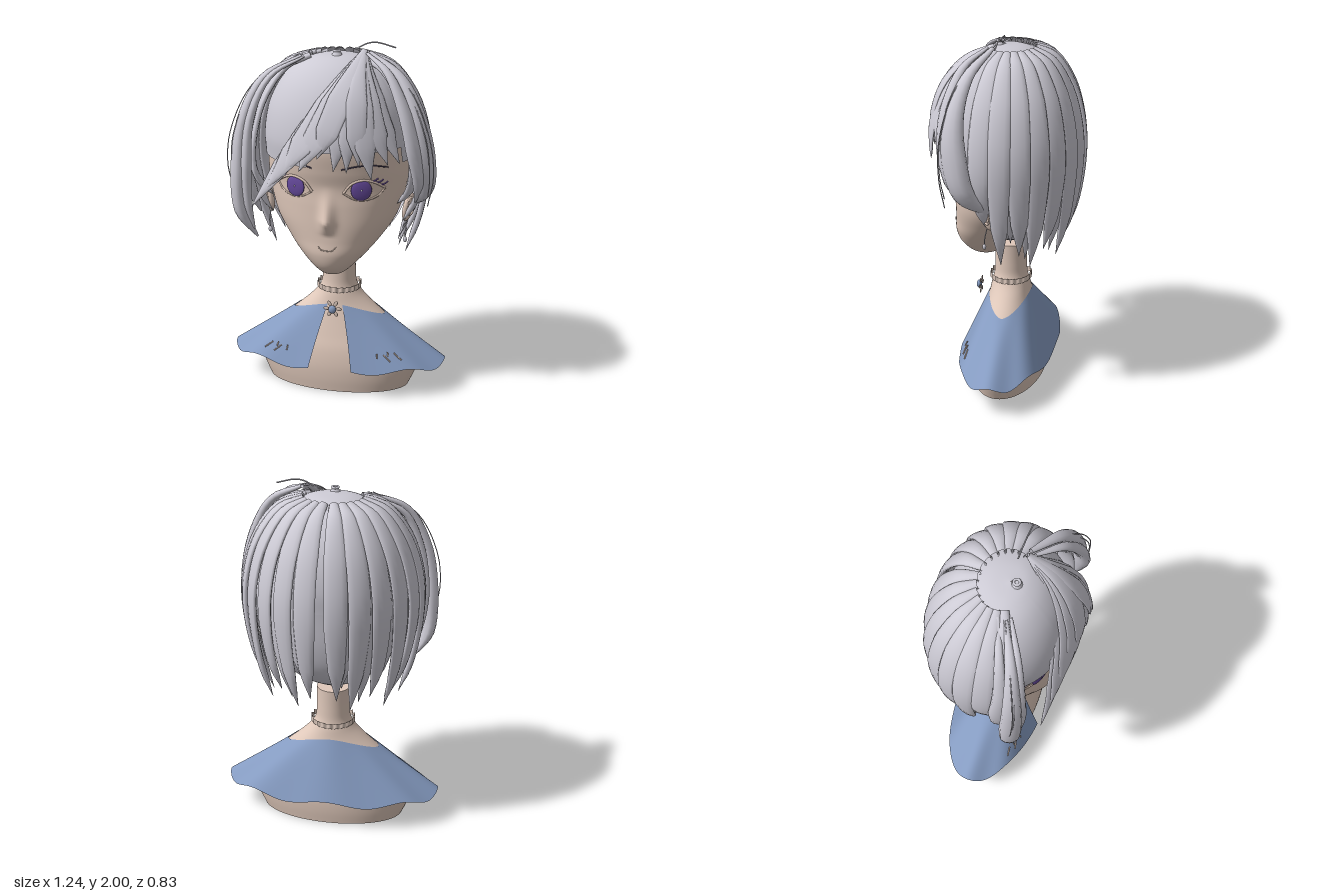
import * as THREE from 'three';

const V = (x, y, z) => new THREE.Vector3(x, y, z);
const lerp = THREE.MathUtils.lerp;
const mat = (name, color, side = THREE.FrontSide) => {
  const m = new THREE.MeshStandardMaterial({ color, side });
  m.name = name;
  return m;
};

// Surface from a rule p(u, v); u runs sideways, v upwards (seen from outside)
function grid(nu, nv, p, closed) {
  const pos = [], idx = [], w = closed ? nu : nu + 1;
  for (let j = 0; j <= nv; j++) for (let i = 0; i < w; i++) pos.push(...p(i / nu, j / nv).toArray());
  for (let j = 0; j < nv; j++) for (let i = 0; i < nu; i++) {
    const a = j * w + i, b = j * w + (i + 1) % w;
    idx.push(a, b, a + w, b, b + w, a + w);
  }
  const g = new THREE.BufferGeometry();
  g.setAttribute('position', new THREE.Float32BufferAttribute(pos, 3));
  g.setIndex(idx);
  g.computeVertexNormals();
  return g;
}

// Smooth cross-sections [y, halfWidth, zFront, zBack, zCentre]
function sections(rows) {
  const A = new THREE.CatmullRomCurve3(rows.map(r => V(r[0], r[1], r[2])));
  const B = new THREE.CatmullRomCurve3(rows.map(r => V(r[0], r[3], r[4])));
  return t => { const a = A.getPoint(t), b = B.getPoint(t); return [a.x, a.y, a.z, b.y, b.z]; };
}
function ringPoint([y, w, zf, zb, zc], a) {
  const c = Math.cos(a);
  return V(w * Math.sin(a), y, zc + (c > 0 ? zf - zc : zc - zb) * c);
}
// The cross-section at height y
function sectionAtHeight(at, y) {
  let lo = 0, hi = 1;
  for (let i = 0; i < 24; i++) { const m = (lo + hi) / 2; if (at(m)[0] < y) lo = m; else hi = m; }
  return at(lo);
}

// Tapered lens-shaped lock of hair along a path, facing away from the head
function lock(points, widths, thick) {
  const c = new THREE.CatmullRomCurve3(points), n = widths.length - 1;
  return grid(12, 24, (u, v) => {
    const p = c.getPoint(v), T = c.getTangent(v), N = V(p.x, p.y - 1.4, p.z);
    N.addScaledVector(T, -N.dot(T)).normalize();
    const D = T.clone().cross(N), k = Math.min(n - 1, Math.floor(v * n));
    const w = Math.max(0.001, lerp(widths[k], widths[k + 1], v * n - k));
    const th = Math.min(thick, w * 0.7), a = u * Math.PI * 2;
    return p.addScaledVector(N, th * Math.cos(a)).addScaledVector(D, w * Math.sin(a));
  }, true);
}

const headAt = sections([
  [0.728, 0.005, 0.155, 0.145, 0.15], [0.735, 0.06, 0.22, 0.08, 0.15], [0.79, 0.125, 0.285, 0.04, 0.13],
  [0.87, 0.2, 0.312, 0, 0.11], [0.95, 0.265, 0.308, -0.06, 0.08], [1.05, 0.33, 0.305, -0.12, 0.05],
  [1.15, 0.365, 0.3, -0.18, 0.03], [1.25, 0.385, 0.295, -0.22, 0.02], [1.35, 0.392, 0.315, -0.25, 0.01],
  [1.5, 0.385, 0.33, -0.26, 0], [1.7, 0.3, 0.25, -0.22, 0], [1.85, 0.02, 0.02, -0.02, 0]]);
const bustAt = sections([[0, 0.41, 0.2], [0.08, 0.445, 0.208], [0.16, 0.47, 0.208], [0.25, 0.435, 0.195],
  [0.33, 0.37, 0.17], [0.42, 0.27, 0.142], [0.5, 0.18, 0.118], [0.56, 0.125, 0.106], [0.61, 0.1, 0.094],
  [0.68, 0.094, 0.09], [0.8, 0.092, 0.088]].map(([y, x, z]) => [y, x, z, -z, 0]));

// Depth of the face at (x, y)
function faceZ(x, y) {
  const [, w, zf, , zc] = sectionAtHeight(headAt, y);
  return zc + (zf - zc) * Math.sqrt(Math.max(0, 1 - (x / w) ** 2));
}

// Cape surface: a = angle from the front, t = 0 at the collar on the shoulders, 1 at the hem
function capePoint(a, t) {
  const top = 0.43 + 0.08 * Math.abs(Math.cos(a)) ** 1.5;
  const collar = ringPoint(sectionAtHeight(bustAt, top), a);
  const hem = V(0.62 * Math.sin(a), 0.167 + 0.016 * Math.cos(8 * a), 0.272 * Math.cos(a));
  collar.x *= 1.025;
  collar.z *= 1.025;
  return collar.lerp(hem, t);
}

export function createModel() {
  const model = new THREE.Group();
  const skin = mat('skin', 0xe0c9bb, THREE.DoubleSide), lace = mat('lace', 0xdcc8bc, THREE.DoubleSide);
  const hair = mat('hair', 0xcdcbd5, THREE.DoubleSide), cloth = mat('cape blue', 0x859bc1, THREE.DoubleSide);
  const violet = mat('violet', 0x664a9c), dark = mat('dark line', 0x453c52);
  const add = (name, geo, m, parent = model) => {
    const mesh = new THREE.Mesh(geo, m);
    mesh.name = name;
    parent.add(mesh);
    return mesh;
  };
  const group = name => { const g = new THREE.Group(); g.name = name; model.add(g); return g; };
  const tube = (name, pts, r, m, parent) =>
    add(name, new THREE.TubeGeometry(new THREE.CatmullRomCurve3(pts), 24, r, 6), m, parent);
  const faceLine = (name, xy, r, m) => tube(name, xy.map(([x, y]) => V(x, y, faceZ(x, y) + 0.003)), r, m);

  // Bust and neck, an open shell underneath
  add('bust', grid(64, 50, (u, v) => ringPoint(bustAt(v), u * Math.PI * 2), true), skin);
  add('neckTop', new THREE.CircleGeometry(1, 48).scale(0.092, 0.088, 1).rotateX(-Math.PI / 2).translate(0, 0.8, 0), skin);

  // Ruffled choker
  add('choker', grid(160, 4, (u, v) => {
    const a = u * Math.PI * 2, r = 0.122 + 0.005 * Math.cos(20 * a);
    return V(r * Math.sin(a), 0.577 + 0.032 * v + 0.004 * Math.cos(20 * a), r * 0.94 * Math.cos(a));
  }, true), lace);

  // Cape, open at the front
  add('cape', grid(160, 14, (u, v) => {
    const t = 1 - v, a0 = lerp(0.24, 0.2, t);
    return capePoint(lerp(a0, Math.PI * 2 - a0, u), t);
  }, false), cloth);

  // Small stitched sprigs on the cape
  const sprigs = group('capeStitching');
  for (const s of [-1, 1]) for (let i = 0; i < 4; i++) {
    const a = 0.55 + i * 0.07, t = 0.7 + 0.03 * (i % 2);
    tube('stitch', [0, 0.5, 1].map(k => {
      const p = capePoint(s * (a + 0.03 * k * (i % 2 ? 1 : -1)), t + 0.12 * k * (i % 2 ? 1 : 0.6));
      return p.add(V(s * 0.002, 0.003, 0.005));
    }), 0.004, lace, sprigs);
  }

  // Flower brooch
  const brooch = group('brooch');
  add('stone', new THREE.SphereGeometry(0.022, 20, 14).scale(1, 1.1, 0.7).translate(0, 0.507, 0.188), cloth, brooch);
  for (let i = 0; i < 6; i++) {
    add('petal', new THREE.SphereGeometry(0.018, 12, 8).scale(0.6, 1, 0.2).translate(0, 0.035, 0)
      .rotateZ((i + 0.5) * Math.PI / 3).translate(0, 0.507, 0.176), lace, brooch);
  }

  // Head with the nose drawn out of the face
  add('head', grid(160, 90, (u, v) => {
    const p = ringPoint(headAt(v), u * Math.PI * 2);
    const k = p.y > 1.07 ? Math.max(0, 1 - (p.y - 1.07) / 0.2) ** 1.5 : Math.max(0, 1 - (1.07 - p.y) / 0.08);
    if (p.z > 0.1) p.z += 0.053 * k * Math.exp(-((p.x / 0.036) ** 2));
    return p;
  }, true), skin);
  faceLine('mouth', [[-0.05, 0.928], [-0.03, 0.911], [0, 0.908], [0.03, 0.911], [0.05, 0.933]], 0.003, skin);

  // Eyes, lids, lashes, brows, ears and earrings
  for (const s of [-1, 1]) {
    const iris = add('iris', new THREE.SphereGeometry(0.057, 32, 16).scale(1, 1, 0.2), violet);
    iris.position.set(s * 0.18, 1.253, faceZ(0.18, 1.253) + 0.01);
    iris.rotation.y = s * 0.36;
    const glint = add('glint', new THREE.SphereGeometry(0.006, 10, 8), hair);
    glint.position.set(s * 0.182, 1.256, faceZ(0.18, 1.253) + 0.018);
    const at = (...xy) => xy.map(([x, y]) => [s * x, y]);
    faceLine('upperLid', at([0.085, 1.235], [0.13, 1.29], [0.19, 1.31], [0.25, 1.29], [0.295, 1.255]), 0.007, skin);
    faceLine('lowerLid', at([0.085, 1.235], [0.14, 1.203], [0.2, 1.195], [0.26, 1.215], [0.295, 1.255]), 0.005, skin);
    for (const [x, y] of [[0.235, 1.302], [0.26, 1.292], [0.28, 1.276]])
      faceLine('lash', at([x - 0.02, y + 0.002], [x + 0.01, y], [x + 0.028, y + 0.012]), 0.004, violet);
    faceLine('eyebrow', at([0.08, 1.372], [0.16, 1.39], [0.24, 1.39], [0.31, 1.37]), 0.004, dark);
    const ear = add('ear', new THREE.SphereGeometry(0.08, 20, 16).scale(0.3, 1.05, 0.55), skin);
    ear.position.set(s * 0.395, 1.095, 0.03);
    ear.rotation.set(-0.15, s * -0.4, s * -0.2);
    const inner = add('earFold', new THREE.TorusGeometry(0.04, 0.007, 8, 24).scale(0.6, 1.2, 1), skin);
    inner.position.set(s * 0.408, 1.105, 0.045);
    inner.rotation.y = s * 0.9;
    tube('earringChain', [V(s * 0.385, 1.02, 0.05), V(s * 0.39, 0.97, 0.06), V(s * 0.385, 0.93, 0.065)], 0.003, hair);
    add('earringDrop', new THREE.SphereGeometry(0.011, 12, 8).scale(1, 1.5, 1).translate(s * 0.385, 0.915, 0.065), hair);
  }

  // Hair cap: crown with its edge lifted over one brow, back half below it
  const crownAt = sections([[1.38, 0.405, 0.35, -0.33, 0], [1.5, 0.41, 0.36, -0.34, 0], [1.65, 0.385, 0.335, -0.32, 0],
    [1.78, 0.32, 0.28, -0.265, 0.01], [1.87, 0.235, 0.205, -0.185, 0.02], [1.92, 0.12, 0.12, -0.09, 0.03],
    [1.935, 0.002, 0.032, 0.028, 0.03]]);
  add('hairCrown', grid(96, 36, (u, v) => {
    const a = u * Math.PI * 2, lifted = a < 1.15 || a > Math.PI * 2 - 0.25;
    return ringPoint(crownAt(lerp(lifted ? 0.125 : 0, 1, v)), a);
  }, true), hair);
  const napeAt = sections([[0.84, 0.1, 0, -0.08, 0], [0.9, 0.21, 0, -0.17, 0], [1, 0.31, 0, -0.25, 0],
    [1.15, 0.378, 0, -0.3, 0], [1.38, 0.405, 0, -0.33, 0]]);
  add('hairNape', grid(48, 24, (u, v) => ringPoint(napeAt(v), lerp(Math.PI * 0.5, Math.PI * 1.5, u)), false), hair);
  add('crownNub', new THREE.CylinderGeometry(0.014, 0.032, 0.03, 20).translate(0, 1.938, 0.06), hair);
  add('crownNubRing', new THREE.TorusGeometry(0.016, 0.007, 8, 24).rotateX(Math.PI / 2).translate(0, 1.952, 0.06), hair);

  // Back strands fanned from the crown with a parting, and a shorter layer beneath
  const back = group('backHair');
  const strand = (deg, tip, size, half, first) => {
    const a = THREE.MathUtils.degToRad(deg), sway = 0.02 * Math.sin(deg * 0.7);
    const pts = [[0.32, 1.918], [0.58, 1.87], [0.82, 1.72], [0.955, 1.52], [0.98, 1.32],
      [0.9, lerp(1.32, tip, 0.55)], [0.75, tip]]
      .map(([r, y], i) => {
        const b = a + (i > 4 ? sway * (i - 4) : 0);
        return V(r * size * 0.5 * Math.sin(b), y, -r * size * 0.405 * Math.cos(b));
      });
    const widths = [0.4, 0.68, 0.95, 1.02, 1, 0.74, 0].map(w => w * half);
    add('strand', lock(pts.slice(first), widths.slice(first), 0.018), hair, back);
  };
  const tips = [0.86, 0.8, 0.87, 0.79, 0.86, 0.81, 1.02, 1.14];
  for (const s of [-1, 1]) tips.forEach((tip, i) => {
    strand(s * (9.8 + 15 * i), tip, 1, 0.061, 0);
    if (i < 5) strand(s * (17 + 15 * i), tip + 0.07 - 0.03 * (i % 2), 0.95, 0.055, 2);
  });

  // Fringe swept from the parting: [tipX, tipY, tipZ, halfWidth]
  const fringe = group('fringe');
  for (const [x, y, z, w] of [[-0.4, 1.15, 0.37, 0.055], [-0.32, 1.25, 0.38, 0.065], [-0.23, 1.34, 0.39, 0.07],
    [-0.13, 1.375, 0.4, 0.07], [-0.03, 1.45, 0.405, 0.065], [0.055, 1.385, 0.4, 0.055],
    [0.125, 1.385, 0.4, 0.05], [0.19, 1.42, 0.395, 0.055], [0.255, 1.35, 0.385, 0.06], [0.33, 1.42, 0.33, 0.06],
    [0.38, 1.41, 0.26, 0.06]]) {
    const pts = [0, 0.2, 0.45, 0.75, 1].map(k => V(lerp(0.15, x, k ** 1.2), lerp(1.96, y, k ** 1.15),
      lerp(0.06, z, Math.sin(Math.min(1, k * 1.25) * Math.PI / 2) ** 0.8)));
    add('fringeLock', lock(pts, [0.015, w * 0.6, w, w * 0.95, 0], 0.009), hair, fringe);
  }

  // Long side locks framing the face
  const sides = group('sideLocks');
  const sideLock = (pts, w, th) => add('sideLock', lock(pts.map(p => V(...p)),
    [0.18, 0.45, 0.75, 1, 0.85, 0.15].map(k => k * w), th), hair, sides);
  sideLock([[-0.19, 1.92, 0.08], [-0.37, 1.82, 0.18], [-0.475, 1.6, 0.23], [-0.51, 1.3, 0.24], [-0.5, 1.07, 0.23], [-0.42, 0.92, 0.2]], 0.062, 0.045);
  sideLock([[-0.17, 1.92, 0.1], [-0.33, 1.83, 0.2], [-0.43, 1.62, 0.25], [-0.46, 1.35, 0.26], [-0.46, 1.12, 0.24], [-0.43, 0.97, 0.22]], 0.045, 0.035);
  sideLock([[-0.19, 1.92, 0.04], [-0.37, 1.81, 0.12], [-0.45, 1.6, 0.16], [-0.48, 1.35, 0.16], [-0.46, 1.17, 0.15], [-0.42, 1.04, 0.12]], 0.055, 0.03);
  sideLock([[0.18, 1.95, 0.06], [0.36, 1.84, 0.15], [0.46, 1.65, 0.2], [0.505, 1.42, 0.19], [0.5, 1.24, 0.14], [0.42, 1.12, 0.03]], 0.075, 0.048);
  sideLock([[0.17, 1.95, 0.09], [0.3, 1.87, 0.19], [0.4, 1.68, 0.25], [0.455, 1.48, 0.25], [0.48, 1.3, 0.21], [0.45, 1.17, 0.15]], 0.055, 0.04);

  // Loose flyaway hairs
  const wisps = group('flyawayHairs');
  tube('wisp', [V(0.11, 1.965, 0.02), V(0.16, 1.99, 0.022), V(0.21, 1.996, 0.022), V(0.31, 1.972, 0.02)], 0.004, hair, wisps);
  for (const s of [-1, 1]) for (let i = 0; i < 2; i++) {
    tube('wisp', [V(s * 0.2, 1.93, 0.08), V(s * (0.42 - 0.02 * i), 1.79, 0.2), V(s * (0.535 - 0.02 * i), 1.55, 0.26),
      V(s * (0.56 - 0.02 * i), 1.35, 0.26), V(s * 0.53, 1.18 + 0.05 * i, 0.24)], 0.003, hair, wisps);
  }
  return model;
}
